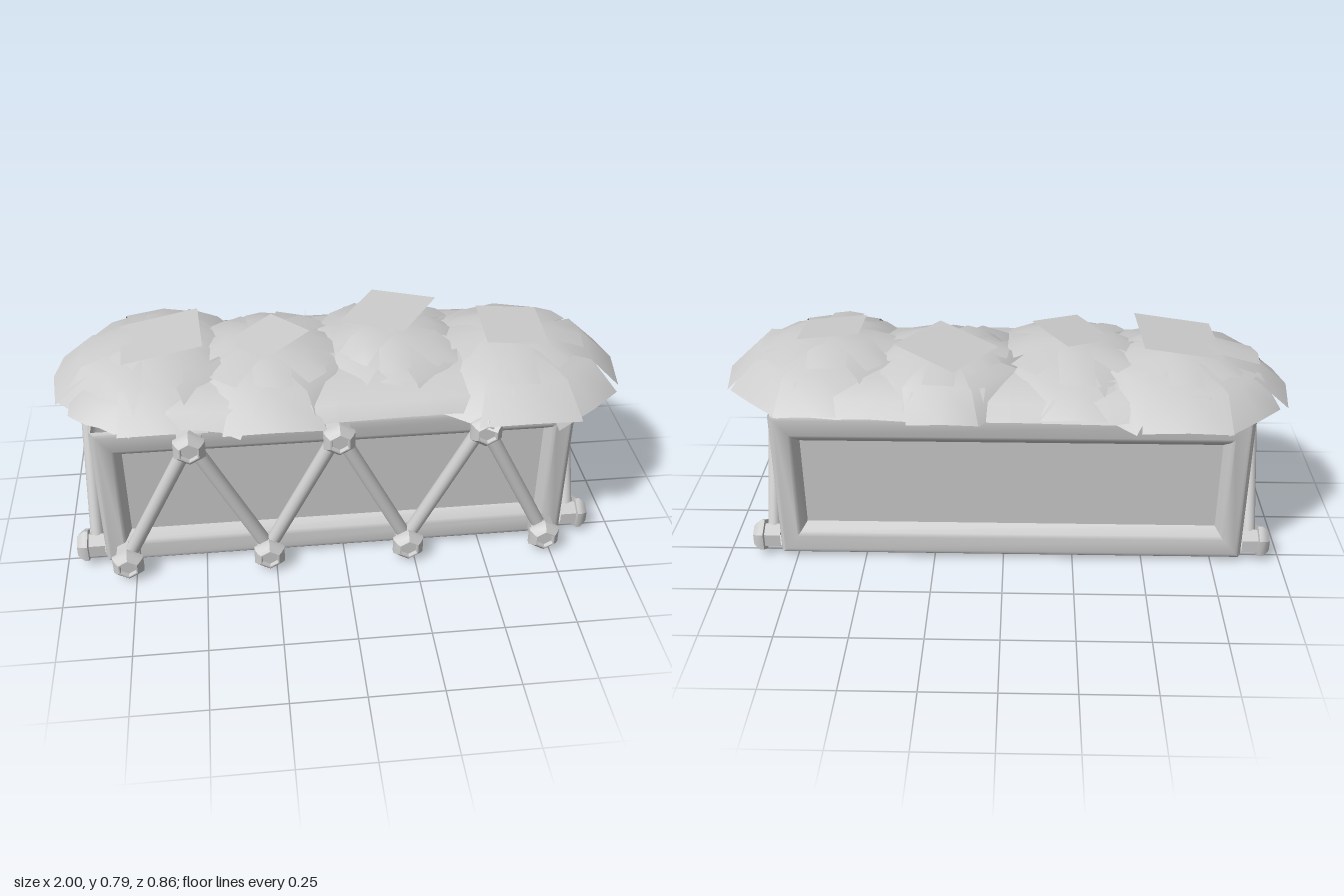
import * as THREE from 'three';
import { toCreasedNormals } from 'three/addons/utils/BufferGeometryUtils.js';

const grey = new THREE.MeshStandardMaterial({ color: 0xcccccc, side: THREE.DoubleSide });
const CX = -0.025, HALF_X = 0.835, HALF_Z = 0.3;

let seed = 7;
const rand = () => (seed = (seed * 16807) % 2147483647) / 2147483647;
const jitter = (a) => (rand() * 2 - 1) * a;

function named(geometry, name, parent) {
  const mesh = new THREE.Mesh(geometry, grey);
  mesh.name = name;
  parent.add(mesh);
  return mesh;
}

// Joins rows of points into a surface; closed rows wrap round.
function loft(rows, closed) {
  const n = rows[0].length, index = [];
  for (let r = 0; r < rows.length - 1; r++) {
    for (let i = 0; i < (closed ? n : n - 1); i++) {
      const a = r * n + i, b = r * n + (i + 1) % n;
      index.push(a, b, b + n, a, b + n, a + n);
    }
  }
  const geo = new THREE.BufferGeometry();
  geo.setAttribute('position', new THREE.Float32BufferAttribute(rows.flat(2), 3));
  geo.setIndex(index);
  geo.computeVertexNormals();
  return geo;
}

// Framed wall with a rounded rim and a recessed panel, facing +z.
function wall(halfW) {
  const rings = [[0.01, -0.01], [0.016, -0.003], [0.025, 0], [0.068, 0], [0.08, -0.008], [0.1, -0.04]];
  const rows = rings.map(([inset, z]) => {
    const x = halfW - inset, top = 0.6 - inset * 1.3, low = 0.007 + inset * 1.28;
    return [[-x, low, z], [x, low, z], [x, top, z], [-x, top, z]];
  });
  const c = [0, 0.3, -0.04];
  rows.push([c, c, c, c]);
  return toCreasedNormals(loft(rows, true), 0.7);
}

// Hexagonal bolt with a flange and a socket, pointing along +z.
function boltGeometry() {
  const profile = [[0.047, 0], [0.047, 0.058], [0.062, 0.06], [0.062, 0.074], [0.05, 0.09], [0.038, 0.1],
    [0.033, 0.1], [0.03, 0.086], [0, 0.086]].map(([x, y]) => new THREE.Vector2(x, y));
  return toCreasedNormals(new THREE.LatheGeometry(profile, 6), 0.7).rotateX(Math.PI / 2);
}

// Zigzag of round struts with a bolt at every joint.
function truss(xs, parent) {
  const bolt = boltGeometry();
  const joints = xs.map((x, i) => new THREE.Vector3(x, i % 2 ? 0.555 : 0.065, 0));
  joints.forEach((p, i) => {
    named(bolt, 'bolt', parent).position.copy(p);
    if (!i) return;
    const d = p.clone().sub(joints[i - 1]);
    const strut = named(new THREE.CylinderGeometry(0.025, 0.025, d.length(), 16), 'strut', parent);
    strut.position.copy(p).add(joints[i - 1]).multiplyScalar(0.5).setZ(0.028);
    strut.quaternion.setFromUnitVectors(new THREE.Vector3(0, 1, 0), d.normalize());
  });
}

function side(name, halfW, x, z, turn, joints) {
  const group = new THREE.Group();
  group.name = name;
  group.position.set(x, 0, z);
  group.rotation.y = turn;
  named(wall(halfW), 'framedPanel', group);
  if (joints) truss(joints, group);
  return group;
}

// Leaf reaching out along +x; each section is [radius, height, half width].
function leaf(sections) {
  return loft(sections.map(([r, y, w]) => [
    [r - w * 0.12, y - w * 0.1, w], [r, y, 0], [r - w * 0.12, y - w * 0.1, -w],
  ]), false);
}

// Low flaring bed of foliage beneath the leaves.
function bed() {
  const rows = [[0.91, 0.345, 0.6], [0.86, 0.3, 0.65], [0.76, 0.22, 0.69], [0.6, 0.1, 0.703], [0, 0, 0.705]]
    .map(([a, b, y], r) => Array.from({ length: 44 }, (_, i) => {
      const t = -i / 44 * Math.PI * 2, c = Math.cos(t), s = Math.sin(t);
      const ragged = r ? 0 : jitter(0.018);
      return [
        CX + (a + ragged) * Math.sign(c) * Math.abs(c) ** 0.5, y - ragged * 0.5,
        (b + ragged) * Math.sign(s) * Math.abs(s) ** 0.5,
      ];
    }));
  return loft(rows, true);
}

// Clump: drooping skirt leaves, upper leaves and a tilted square leaf on top.
function clump({ x, z, reach, size, spin, tiltX, tiltZ, capZ }) {
  const group = new THREE.Group();
  group.name = 'leafClump';
  group.position.set(x, 0, z);
  for (let k = 0; k < 8; k++) {
    const straight = k % 2 === 0;
    const r = straight ? reach : reach * (0.97 + jitter(0.04));
    named(leaf([[0.08, 0.725, 0.07], [0.27, 0.7 + jitter(0.01), 0.14], [r, 0.6 + jitter(0.014), 0.15 + jitter(0.03)]]),
      'skirtLeaf', group).rotation.y = k * Math.PI / 4 + (straight ? 0 : jitter(0.15));
  }
  for (let k = 0; k < 8; k++) {
    const w = 0.065 + jitter(0.012);
    named(leaf([[0.03, 0.755, w * 0.8], [0.15, 0.742 + jitter(0.01), w], [0.26 + jitter(0.03), 0.7 + jitter(0.015), w]]),
      'upperLeaf', group).rotation.y = k * Math.PI / 4 + jitter(0.1);
  }
  const cap = named(new THREE.PlaneGeometry(size, size).rotateX(-Math.PI / 2).rotateY(spin), 'topLeaf', group);
  cap.position.set(0, 0.768, capZ - z);
  cap.rotation.set(tiltX, 0, tiltZ);
  return group;
}

export function createModel() {
  const model = new THREE.Group();
  model.name = 'planter';

  // Open-bottomed box
  const end = [-0.25, 0, 0.25];
  model.add(
    side('frontSide', HALF_X, CX, HALF_Z, 0, [-0.75, -0.5, -0.25, 0, 0.25, 0.5, 0.75]),
    side('backSide', HALF_X, CX, -HALF_Z, Math.PI),
    side('leftEnd', HALF_Z, CX + HALF_X, 0, Math.PI / 2, end),
    side('rightEnd', HALF_Z, CX - HALF_X, 0, -Math.PI / 2, end),
  );

  // Foliage
  const foliage = new THREE.Group();
  foliage.name = 'foliage';
  named(bed(), 'foliageBed', foliage);
  [
    { x: -0.61, z: -0.045, reach: 0.39, size: 0.28, spin: 0.06, tiltX: -0.03, tiltZ: 0.17, capZ: -0.01 },
    { x: -0.24, z: 0.01, reach: 0.37, size: 0.21, spin: 0.65, tiltX: 0, tiltZ: 0.17, capZ: 0.03 },
    { x: 0.2, z: -0.03, reach: 0.34, size: 0.26, spin: -0.6, tiltX: -0.06, tiltZ: 0.12, capZ: -0.11 },
    { x: 0.62, z: 0.04, reach: 0.38, size: 0.22, spin: 0, tiltX: 0.1, tiltZ: -0.1, capZ: 0.04 },
  ].forEach((c) => foliage.add(clump(c)));
  model.add(foliage);
  return model;
}
